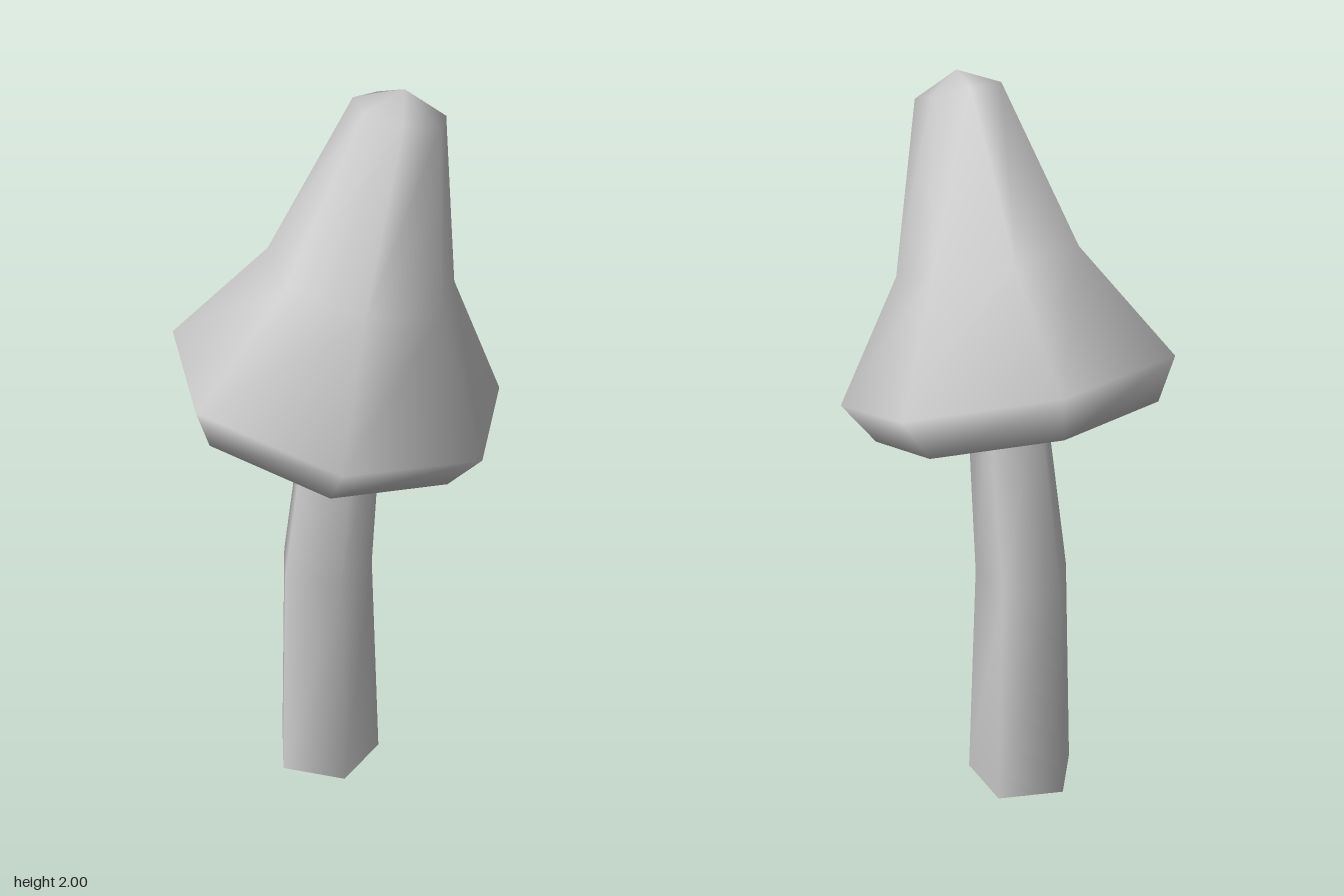
import * as THREE from 'three';

// Lofts rings [cx, cy, cz, rx, rz] upward; slope tilts each ring along x.
// bottom and top are optional centre points that close the ends.
function loft(rings, sides, start, slope, bottom, top) {
  const pos = [], idx = [];
  for (const [cx, cy, cz, rx, rz] of rings) {
    for (let j = 0; j < sides; j++) {
      const a = start + (j / sides) * Math.PI * 2;
      const dx = Math.cos(a) * rx;
      pos.push(cx + dx, cy + slope * dx, cz + Math.sin(a) * rz);
    }
  }
  for (let i = 0; i < rings.length - 1; i++) {
    for (let j = 0; j < sides; j++) {
      const a = i * sides + j, b = i * sides + (j + 1) % sides;
      idx.push(a, a + sides, b, b, a + sides, b + sides);
    }
  }
  const fan = (point, first, up) => {
    const c = pos.length / 3;
    pos.push(...point);
    for (let j = 0; j < sides; j++) {
      const a = first + j, b = first + (j + 1) % sides;
      idx.push(c, up ? b : a, up ? a : b);
    }
  };
  if (bottom) fan(bottom, 0, false);
  if (top) fan(top, (rings.length - 1) * sides, true);
  const g = new THREE.BufferGeometry();
  g.setAttribute('position', new THREE.Float32BufferAttribute(pos, 3));
  g.setIndex(idx);
  g.computeVertexNormals();
  return g;
}

export function createModel() {
  const group = new THREE.Group();
  group.name = 'mushroom';
  const grey = new THREE.MeshStandardMaterial({ color: 0xcccccc });
  grey.name = 'light grey';
  const add = (name, geometry) => {
    const mesh = new THREE.Mesh(geometry, grey);
    mesh.name = name;
    group.add(mesh);
  };

  // Tilted seven-sided cap: underside edge, rim, shoulder, crown
  add('cap', loft([
    [-0.03, 1.12, 0.02, 0.38, 0.392],
    [0, 1.23, 0.02, 0.446, 0.46],
    [0.065, 1.53, 0.022, 0.241, 0.253],
    [0.16, 1.95, 0.025, 0.113, 0.116],
  ], 7, -Math.PI / 2, -0.23, [-0.03, 1.12, 0.02], [0.17, 2, 0.025]));

  // Bent five-sided stem, its top hidden just inside the cap
  const foot = [-0.047, 0, 0.018, 0.16, 0.16];
  add('stem', loft([
    foot,
    [-0.051, 0.65, 0.014, 0.136, 0.136],
    [0.005, 1.2, 0.012, 0.11, 0.11],
  ], 5, Math.PI / 4, 0));

  // Flat sole with a sharp edge
  add('stemBase', loft([foot], 5, Math.PI / 4, 0, [-0.047, 0, 0.018]));

  return group;
}
